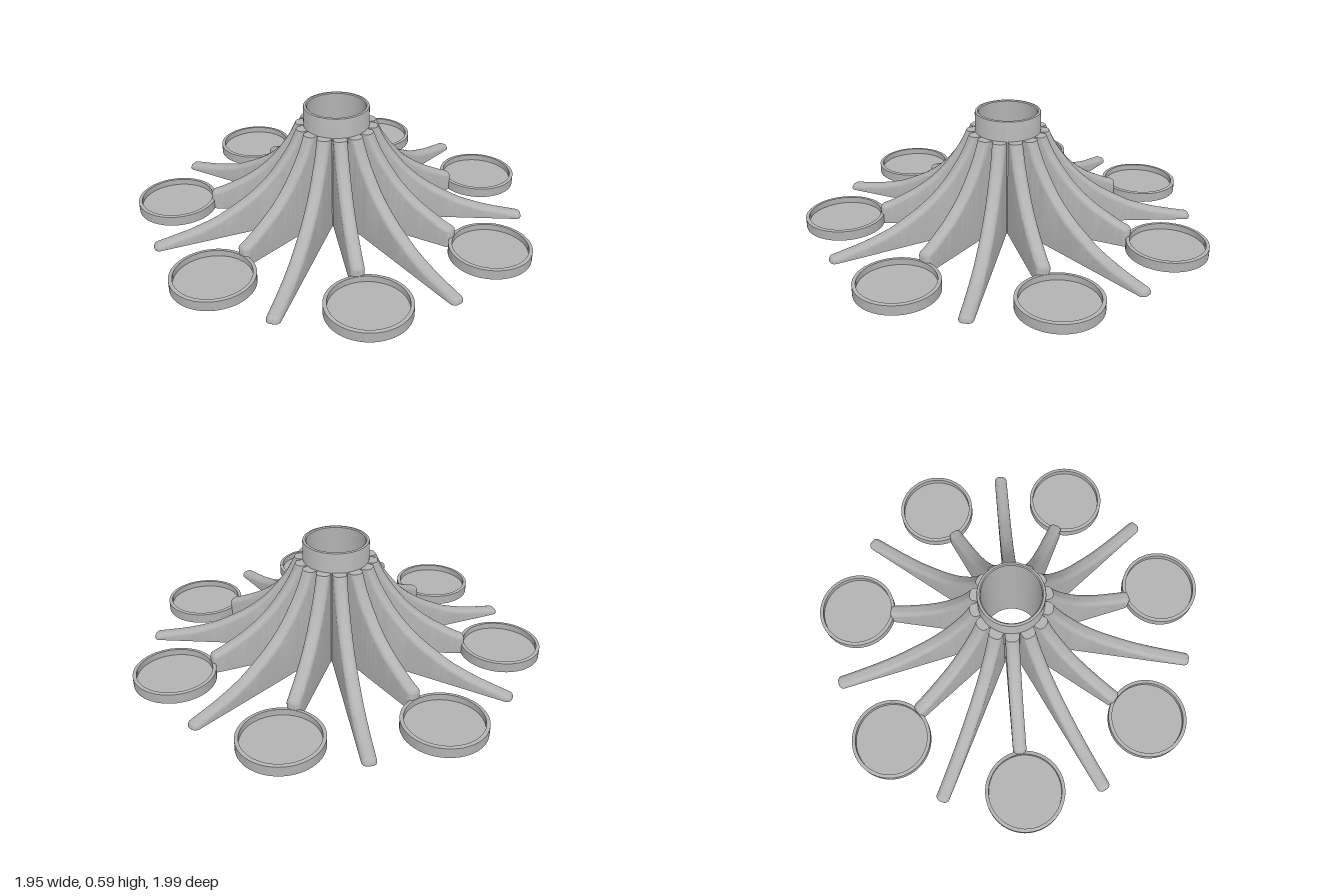
import * as THREE from 'three';
import { toCreasedNormals } from 'three/addons/utils/BufferGeometryUtils.js';

const HALF = 0.033;  // half thickness of a fin
const ROUND = 0.025; // radius of its rounded edge
const TOP = 0.49;    // height where the fins meet the hub
const SWEEP = [[0.2, TOP], [0.24, 0.41], [0.3, 0.325], [0.367, 0.25], [0.46, 0.178], [0.576, 0.115]];

// Upright fin running along +x: a concave top edge, rounded across, with a straight web to the ground
function finGeometry(tail, noseAngle) {
  const curve = new THREE.SplineCurve([...SWEEP, ...tail].map(p => new THREE.Vector2(...p)));
  const path = curve.getPoints(32);
  const end = path[path.length - 1];

  // rounded nose, then straight down to the ground
  const cx = end.x - ROUND * Math.cos(noseAngle), cy = end.y - ROUND * Math.sin(noseAngle);
  for (let i = 1; i <= 6; i++) {
    const a = noseAngle * (1 - i / 6);
    path.push(new THREE.Vector2(cx + ROUND * Math.cos(a), cy + ROUND * Math.sin(a)));
  }
  path.push(new THREE.Vector2(cx + ROUND, 0));

  // cross-sections, the first one hidden in the hub wall
  const steps = 6;
  const section = (point, normal, flatStart) => {
    const ring = [];
    for (let s = -1; s <= 1; s += 2) {
      for (let k = 0; k <= steps; k++) {
        const t = (Math.PI / 2) * (s < 0 ? 1 - k / steps : k / steps);
        const inset = flatStart ? 0 : ROUND * (1 - Math.cos(t));
        ring.push([point.x - normal.x * inset, Math.max(0, point.y - normal.y * inset),
          s * (HALF - ROUND + ROUND * Math.sin(t))]);
      }
    }
    const first = ring[0], last = ring[ring.length - 1];
    return [[first[0], 0, first[2]], ...ring, [last[0], 0, last[2]]];
  };
  const out = new THREE.Vector2(1, 0);
  const rings = [section(new THREE.Vector2(0.15, TOP), out, true)];
  path.forEach((p, i) => {
    const d = path[Math.min(i + 1, path.length - 1)].clone().sub(path[Math.max(i - 1, 0)]).normalize();
    const atEnd = i === 0 || i === path.length - 1;
    rings.push(section(p, atEnd ? out : new THREE.Vector2(-d.y, d.x), false));
  });

  const n = rings[0].length;
  const index = [];
  for (let i = 0; i < rings.length - 1; i++) {
    for (let j = 0; j < n; j++) {
      const a = i * n + j, b = i * n + (j + 1) % n;
      index.push(a, b, a + n, b, b + n, a + n);
    }
  }
  const geo = new THREE.BufferGeometry();
  geo.setAttribute('position', new THREE.Float32BufferAttribute(rings.flat(2), 3));
  geo.setIndex(index);
  return toCreasedNormals(geo, 0.6);
}

// Round part from [radius, height] points
function turned(points) {
  const geo = new THREE.LatheGeometry(points.map(p => new THREE.Vector2(...p)), 64);
  return toCreasedNormals(geo, 0.6);
}

export function createModel() {
  const model = new THREE.Group();
  model.name = 'radialStand';
  const grey = new THREE.MeshStandardMaterial({ color: 0xb2b2b2 });
  grey.name = 'grey';

  const body = new THREE.Group();
  body.name = 'body';
  body.position.x = -0.04;
  model.add(body);

  // open tube in the middle
  const hub = new THREE.Mesh(turned([
    [0.142, 0], [0.16, 0], [0.16, 0.582], [0.158, 0.588], [0.153, 0.59],
    [0.147, 0.59], [0.142, 0.585], [0.142, 0],
  ]), grey);
  hub.name = 'hubTube';
  body.add(hub);

  const longFin = finGeometry([[0.64, 0.088], [0.76, 0.055], [0.905, 0.03]], Math.PI / 2);
  const shortFin = finGeometry([[0.622, 0.096]], 1.3);
  const tray = turned([
    [0, 0], [0.195, 0], [0.195, 0.048], [0.192, 0.05], [0.178, 0.05], [0.178, 0.02], [0, 0.02],
  ]);

  // seven short fins ending in trays, with seven long fins between them
  for (let k = 0; k < 14; k++) {
    const isLong = k % 2 === 1;
    const arm = new THREE.Group();
    arm.name = isLong ? 'longArm' : 'trayArm';
    arm.rotation.y = (k * Math.PI) / 7;
    const fin = new THREE.Mesh(isLong ? longFin : shortFin, grey);
    fin.name = isLong ? 'longFin' : 'shortFin';
    fin.position.z = 0.01;
    arm.add(fin);
    if (!isLong) {
      const dish = new THREE.Mesh(tray, grey);
      dish.name = 'tray';
      dish.position.x = 0.82;
      arm.add(dish);
    }
    body.add(arm);
  }
  return model;
}
